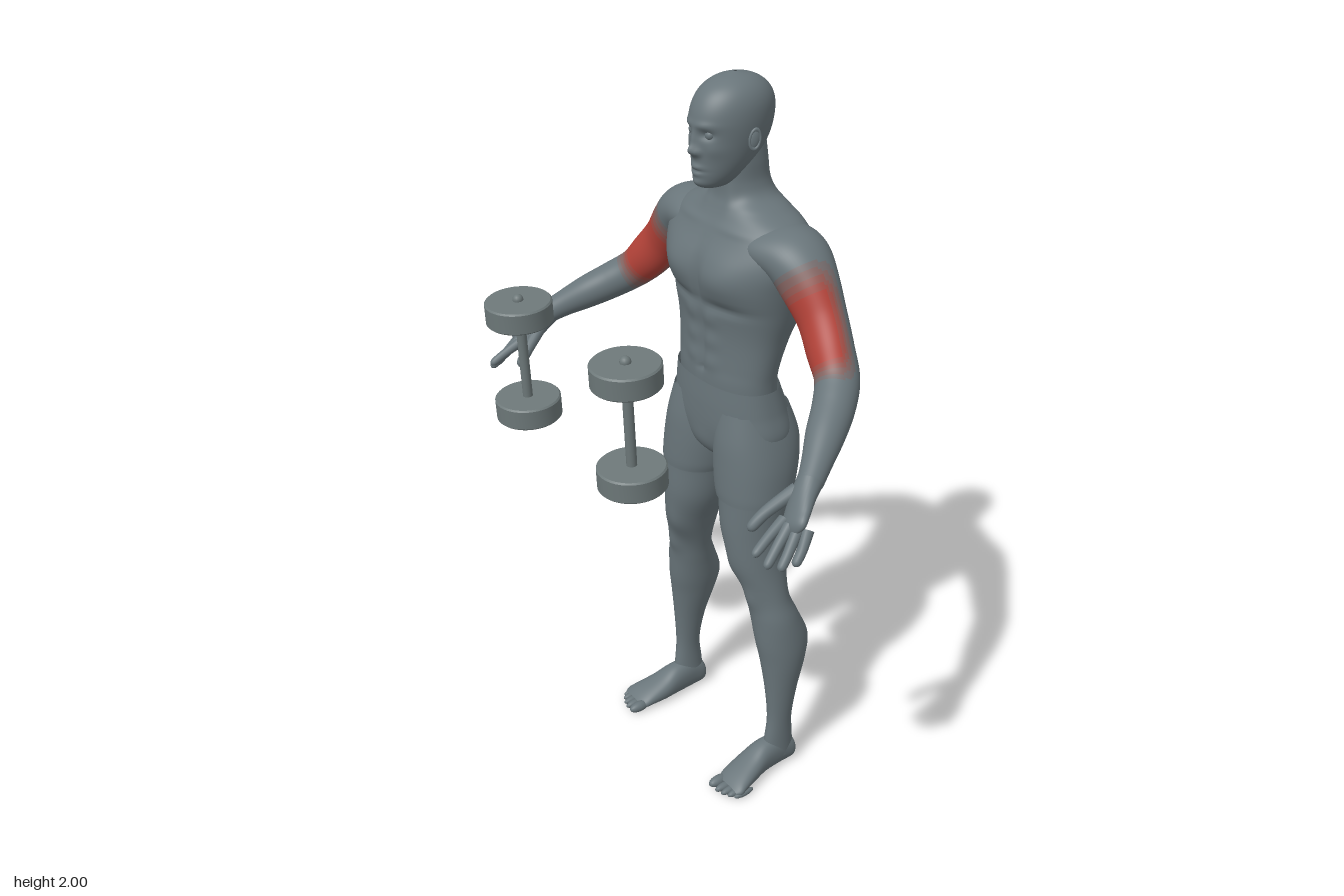
import * as THREE from 'three';
import { toCreasedNormals } from 'three/addons/utils/BufferGeometryUtils.js';

const material = (name, color) => {
  const m = new THREE.MeshStandardMaterial({ color, side: THREE.DoubleSide });
  m.name = name;
  return m;
};

// Smooth interpolation through rows of numbers, t runs from 0 to rows.length - 1
function sample(rows, t) {
  const last = rows.length - 1;
  const i = Math.min(Math.max(Math.floor(t), 0), last - 1), f = t - i;
  const r = k => rows[Math.min(Math.max(k, 0), last)];
  return rows[0].map((_, c) => {
    const a = r(i - 1)[c], b = r(i)[c], d = r(i + 1)[c], e = r(i + 2)[c];
    return b + 0.5 * f * (d - a + f * (2 * a - 5 * b + 4 * d - e + f * (3 * (b - d) + e - a)));
  });
}

// Closed-ring surface; pick(t, angle) chooses a material slot for each face
function surface(last, nT, nA, point, pick = () => 0) {
  const pos = [], buckets = [];
  for (let i = 0; i <= nT; i++) for (let j = 0; j < nA; j++)
    pos.push(...point(last * i / nT, j / nA * Math.PI * 2));
  for (let i = 0; i < nT; i++) for (let j = 0; j < nA; j++) {
    const k = (j + 1) % nA, a = i * nA + j, b = i * nA + k, c = a + nA, d = b + nA;
    const slot = pick(last * (i + 0.5) / nT, (j + 0.5) / nA * Math.PI * 2);
    (buckets[slot] ??= []).push(a, c, b, b, c, d);
  }
  const g = new THREE.BufferGeometry(), index = [];
  buckets.forEach((list, slot) => {
    g.addGroup(index.length, list.length, slot);
    for (const v of list) index.push(v);
  });
  g.setAttribute('position', new THREE.Float32BufferAttribute(pos, 3));
  g.setIndex(index);
  g.computeVertexNormals();
  return g;
}

// Upright loft: rows [y, x0, x1, zFront, zBack]; bumps [side, x, y, width, height, amount]
function column(rows, { power = 1, bumps = [], grow = 0, nT = 60, nA = 48 } = {}) {
  const bend = v => Math.sign(v) * Math.abs(v) ** power;
  return surface(rows.length - 1, nT, nA, (t, a) => {
    const [y, x0, x1, zf, zb] = sample(rows, t);
    const s = Math.sin(a);
    const x = (x0 + x1) / 2 + ((x1 - x0) / 2 + grow) * bend(Math.cos(a));
    let z = (zf + zb) / 2 + ((zf - zb) / 2 + grow) * bend(s);
    for (const [side, bx, by, w, h, amount] of bumps)
      if (side * s > 0) z += side * amount * Math.min(1, Math.abs(s) * 2) *
        Math.exp(-(((Math.abs(x) - bx) / w) ** 2) - ((y - by) / h) ** 2);
    return [x, y, z];
  });
}
const even = rows => rows.map(([y, w, f, b]) => [y, -w, w, f, b]);

// Loft along a bent path: rows [x, y, z, radiusAcross, radiusFront]
function limb(rows, nT, nA, pick) {
  const at = t => new THREE.Vector3(...sample(rows, t));
  const last = rows.length - 1;
  return surface(last, nT, nA, (t, a) => {
    const dir = at(Math.min(t + 0.05, last)).sub(at(Math.max(t - 0.05, 0))).normalize();
    const across = dir.clone().cross(new THREE.Vector3(0, 0, 1)).normalize();
    const front = across.clone().cross(dir);
    const [, , , ra, rb] = sample(rows, t);
    return at(t).addScaledVector(across, ra * Math.cos(a)).addScaledVector(front, rb * Math.sin(a)).toArray();
  }, pick);
}

function mirrored(g) {
  const m = g.clone().scale(-1, 1, 1), ix = m.index;
  for (let i = 0; i < ix.count; i += 3) {
    const b = ix.getX(i + 1);
    ix.setX(i + 1, ix.getX(i + 2));
    ix.setX(i + 2, b);
  }
  m.computeVertexNormals();
  return m;
}

export function createModel() {
  const model = new THREE.Group();
  const skin = material('body grey', 0x69757a);
  const steel = material('dumbbell grey', 0x6d7879);
  const armColours = [skin, material('trace red', 0x756c6d), material('faint red', 0x836360),
    material('soft red', 0x925852), material('mid red', 0xa24d45), material('muscle red', 0xb24238)];
  const add = (name, geo, mat = skin, parent = model) => {
    const mesh = new THREE.Mesh(geo, mat);
    mesh.name = name;
    parent.add(mesh);
    return mesh;
  };
  const pair = (name, geo, mat = skin) => {
    add('left' + name, geo, mat);
    add('right' + name, mirrored(geo), mat);
  };

  // Torso running up into the neck, with chest, abdomen, spine and shoulder blade relief
  add('torsoAndNeck', column(even([
    [1.10, 0.165, -0.115, -0.29], [1.215, 0.166, -0.105, -0.283], [1.27, 0.17, -0.107, -0.285],
    [1.35, 0.182, -0.106, -0.31], [1.42, 0.2, -0.098, -0.335], [1.5, 0.22, -0.085, -0.35],
    [1.56, 0.236, -0.09, -0.352], [1.61, 0.235, -0.11, -0.35], [1.65, 0.195, -0.13, -0.337],
    [1.68, 0.13, -0.143, -0.322], [1.705, 0.083, -0.15, -0.308], [1.74, 0.065, -0.15, -0.294],
    [1.79, 0.062, -0.145, -0.286], [1.83, 0.06, -0.14, -0.28]]), {
    power: 0.92, nT: 110, nA: 80, bumps: [
      [1, 0.09, 1.52, 0.08, 0.06, 0.018], [1, 0, 1.51, 0.013, 0.07, -0.01],
      [1, 0.085, 1.44, 0.07, 0.014, -0.009], [1, 0, 1.32, 0.008, 0.1, -0.006],
      ...[1.4, 1.335, 1.275].map(y => [1, 0.036, y, 0.026, 0.024, 0.006]),
      [1, 0.09, 1.638, 0.07, 0.012, 0.004], [1, 0, 1.248, 0.008, 0.008, -0.005],
      [1, 0.04, 1.72, 0.015, 0.05, 0.004],
      [-1, 0, 1.42, 0.024, 0.25, -0.026], [-1, 0.095, 1.55, 0.05, 0.065, 0.015],
      [-1, 0.14, 1.44, 0.05, 0.06, 0.008], [-1, 0.045, 1.27, 0.028, 0.07, 0.009]]
  }));

  // Head and face
  add('head', column(even([
    [1.728, 0.004, -0.125, -0.15], [1.738, 0.03, -0.093, -0.18], [1.76, 0.05, -0.083, -0.215],
    [1.8, 0.068, -0.08, -0.255], [1.85, 0.08, -0.076, -0.287], [1.9, 0.085, -0.074, -0.3],
    [1.94, 0.081, -0.086, -0.297], [1.97, 0.066, -0.11, -0.278], [1.99, 0.04, -0.147, -0.245],
    [2, 0.003, -0.19, -0.2]]), {
    nT: 110, nA: 90, bumps: [
      [1, 0, 1.83, 0.014, 0.014, 0.016], [1, 0, 1.854, 0.01, 0.024, 0.009],
      [1, 0.014, 1.826, 0.008, 0.008, 0.006], [1, 0.033, 1.871, 0.017, 0.011, -0.01],
      [1, 0.028, 1.893, 0.028, 0.009, 0.004], [1, 0.05, 1.835, 0.018, 0.018, 0.004],
      [1, 0, 1.789, 0.022, 0.007, 0.006], [1, 0, 1.772, 0.02, 0.007, 0.005],
      [1, 0, 1.78, 0.022, 0.003, -0.003], [1, 0, 1.75, 0.022, 0.012, 0.006]]
  }));
  pair('Eye', new THREE.SphereGeometry(0.013, 20, 14).translate(0.032, 1.871, -0.099));
  pair('Ear', new THREE.SphereGeometry(1, 20, 14).scale(0.007, 0.025, 0.015)
    .rotateY(-0.3).rotateX(-0.15).translate(0.084, 1.858, -0.19));
  pair('EarRim', new THREE.TorusGeometry(0.018, 0.004, 8, 24).scale(0.75, 1.3, 1)
    .rotateY(Math.PI / 2 - 0.3).rotateX(-0.15).translate(0.087, 1.858, -0.19));

  // Shorts
  add('shorts', column(even([
    [0.968, 0.012, -0.18, -0.24], [0.985, 0.08, -0.145, -0.28], [1.02, 0.165, -0.118, -0.308],
    [1.08, 0.195, -0.102, -0.325], [1.15, 0.183, -0.098, -0.311], [1.216, 0.171, -0.1, -0.288]]), {
    power: 0.88, nT: 50, nA: 80, bumps: [
      [-1, 0.085, 1.085, 0.06, 0.06, 0.014], [-1, 0, 1.05, 0.018, 0.09, -0.03], [1, 0, 1.03, 0.045, 0.04, 0.006]]
  }));

  // Legs: the shorts sleeves share the upper thigh sections
  const leg = [
    [0.04, 0.188, 0.25, -0.185, -0.29], [0.1, 0.193, 0.25, -0.19, -0.284], [0.18, 0.194, 0.252, -0.197, -0.276],
    [0.28, 0.18, 0.26, -0.19, -0.29], [0.38, 0.155, 0.27, -0.178, -0.314], [0.45, 0.138, 0.27, -0.166, -0.32],
    [0.53, 0.125, 0.26, -0.158, -0.292], [0.6, 0.112, 0.24, -0.15, -0.268], [0.7, 0.083, 0.22, -0.115, -0.275],
    [0.8, 0.045, 0.213, -0.1, -0.285], [0.9, 0.027, 0.216, -0.099, -0.298], [0.93, 0.018, 0.216, -0.097, -0.305],
    [1.0, 0.008, 0.21, -0.097, -0.322], [1.07, 0.01, 0.195, -0.1, -0.326], [1.15, 0.02, 0.17, -0.112, -0.3]];
  pair('Leg', column(leg, { nT: 90, bumps: [
    [1, 0.18, 0.595, 0.03, 0.035, 0.01], [1, 0.12, 0.69, 0.03, 0.045, 0.007],
    [-1, 0.17, 0.46, 0.03, 0.07, 0.005], [-1, 0.235, 0.46, 0.025, 0.06, 0.005]] }));
  pair('ShortsSleeve', column(leg.slice(10), { grow: 0.004, power: 0.94, nT: 30 }));

  // Feet: lofted from heel to ball, then turned forward; rows [z, x0, x1, -bottom, -top]
  pair('Foot', column([
    [-0.295, 0.212, 0.228, -0.025, -0.045], [-0.285, 0.193, 0.246, -0.004, -0.075], [-0.24, 0.187, 0.25, 0, -0.1],
    [-0.18, 0.181, 0.257, 0, -0.098], [-0.13, 0.178, 0.269, 0, -0.074], [-0.08, 0.182, 0.283, 0, -0.052],
    [-0.055, 0.187, 0.289, 0, -0.038], [-0.04, 0.2, 0.28, -0.008, -0.026]],
    { power: 0.9, nT: 40 }).rotateX(Math.PI / 2));
  [[0.202, -0.002, 0.016], [0.227, -0.005, 0.012], [0.247, -0.011, 0.011], [0.265, -0.021, 0.011], [0.28, -0.033, 0.01]]
    .forEach(([x, tip, r], i) => pair('Toe' + (i + 1),
      new THREE.SphereGeometry(1, 16, 12).scale(r, r, 0.034).translate(x, r, tip - 0.034)));

  // Arms with a highlighted upper-arm muscle fading at its border
  pair('Arm', limb([
    [0.08, 1.605, -0.23, 0.04, 0.09], [0.15, 1.603, -0.23, 0.058, 0.1], [0.215, 1.588, -0.229, 0.07, 0.089],
    [0.265, 1.54, -0.228, 0.073, 0.074], [0.32, 1.475, -0.224, 0.064, 0.06], [0.37, 1.415, -0.21, 0.061, 0.057],
    [0.42, 1.362, -0.192, 0.053, 0.055], [0.465, 1.322, -0.145, 0.05, 0.052], [0.507, 1.285, -0.085, 0.045, 0.047],
    [0.545, 1.25, -0.03, 0.036, 0.037], [0.572, 1.222, 0.012, 0.031, 0.031]], 100, 64, (t, a) => {
    const along = Math.min(1, Math.max(0, (2.05 - Math.abs(t - 4.45)) / 1.1));
    const around = Math.min(1, Math.max(0, (Math.sin(a) + 0.5) / 0.75));
    return Math.round(5 * along * around);
  }), armColours);

  // Hands
  pair('Palm', limb([
    [0.566, 1.228, 0.004, 0.031, 0.032], [0.578, 1.2, 0.035, 0.037, 0.026], [0.594, 1.17, 0.065, 0.043, 0.021],
    [0.606, 1.15, 0.085, 0.042, 0.017], [0.612, 1.138, 0.095, 0.02, 0.006]], 30, 32));
  const fingers = {
    Thumb: [[0.555, 1.205, 0.035], [0.528, 1.155, 0.1], [0.515, 1.112, 0.143]],
    IndexFinger: [[0.578, 1.155, 0.09], [0.585, 1.13, 0.14], [0.593, 1.1, 0.19]],
    MiddleFinger: [[0.597, 1.15, 0.09], [0.609, 1.112, 0.135], [0.62, 1.076, 0.175]],
    RingFinger: [[0.616, 1.147, 0.08], [0.63, 1.105, 0.117], [0.64, 1.07, 0.15]],
    LittleFinger: [[0.632, 1.145, 0.065], [0.645, 1.11, 0.09], [0.653, 1.078, 0.118]]
  };
  for (const [name, [a, b, c]] of Object.entries(fingers)) {
    const r = name === 'Thumb' ? 0.015 : 0.0125;
    const nearTip = b.map((v, i) => v + (c[i] - v) * 0.8);
    pair(name, limb([[...a, r * 1.2, r * 1.2], [...b, r, r], [...nearTip, r * 0.85, r * 0.85],
      [...c, 0.001, 0.001]], 18, 14));
  }

  // Dumbbells: bevelled plates on a bar with rounded ends
  const plate = toCreasedNormals(new THREE.LatheGeometry(
    [[0, -0.029], [0.082, -0.029], [0.086, -0.025], [0.086, 0.025], [0.082, 0.029], [0, 0.029]]
      .map(p => new THREE.Vector2(...p)), 48), 0.5);
  for (const [name, x, y] of [['left', 0.218, 1.294], ['right', -0.263, 1.274]]) {
    const dumbbell = new THREE.Group();
    dumbbell.name = name + 'Dumbbell';
    dumbbell.position.set(x, y, 0.267);
    dumbbell.rotation.x = 0.05;
    add('bar', new THREE.CylinderGeometry(0.013, 0.013, 0.34, 20), steel, dumbbell);
    for (const s of [-1, 1]) {
      add('plate', plate, steel, dumbbell).position.y = s * 0.137;
      add('barEnd', new THREE.SphereGeometry(0.014, 16, 12), steel, dumbbell).position.y = s * 0.168;
    }
    model.add(dumbbell);
  }
  return model;
}
